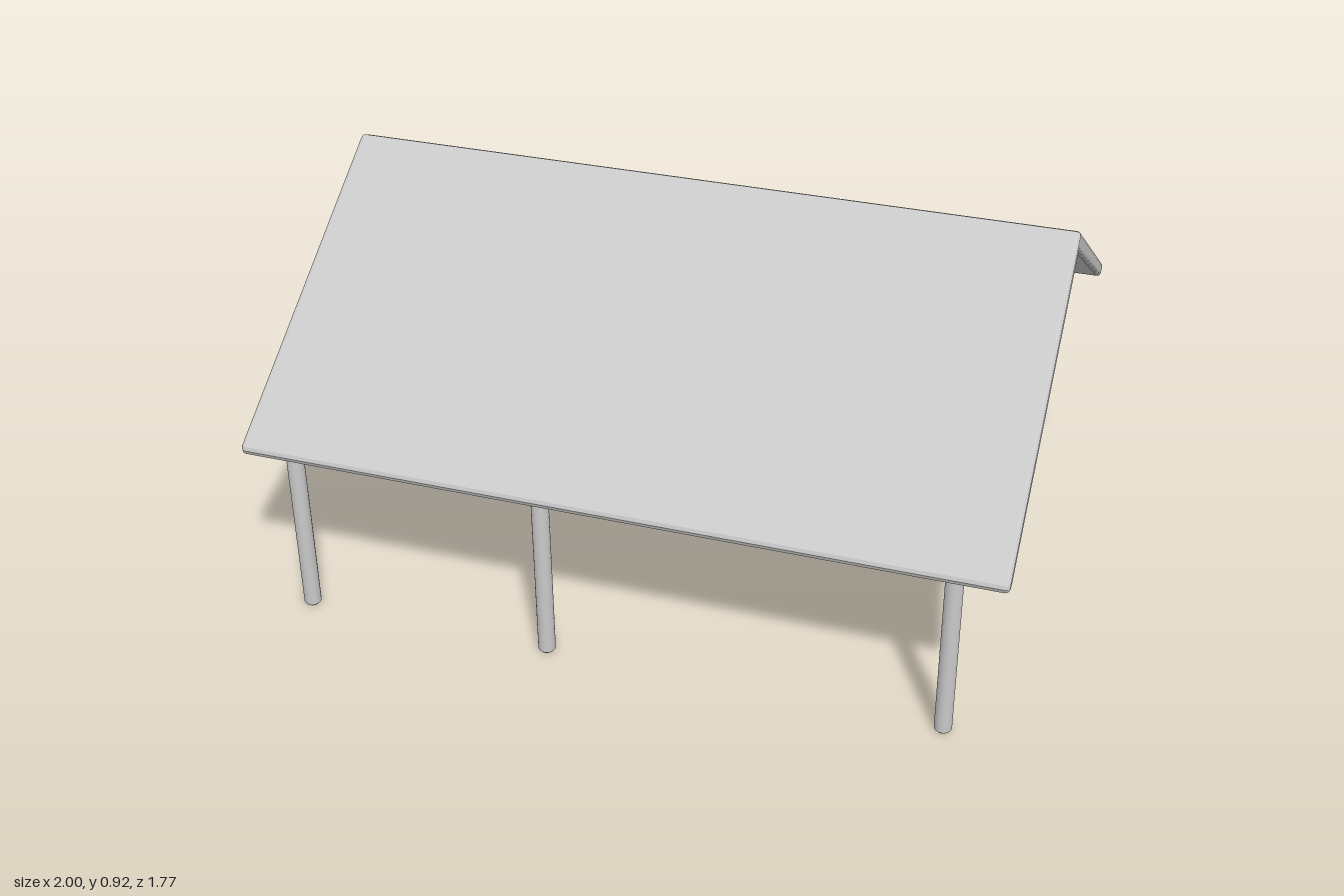
import * as THREE from 'three';

export function createModel() {
  const model = new THREE.Group();
  model.name = 'openShelter';
  const grey = new THREE.MeshStandardMaterial({ color: 0xc8c8c8 });
  grey.name = 'plain grey';

  // Whole shelter stands turned slightly about the vertical
  const shelter = new THREE.Group();
  shelter.name = 'shelter';
  shelter.rotation.y = 0.21;
  model.add(shelter);

  // Gabled roof: thin folded profile with rounded eaves, run along the ridge
  const half = [[0.69, 0.44], [0.706, 0.44], [0.717, 0.446], [0.721, 0.456], [0.718, 0.465], [0.706, 0.474]];
  const points = [
    [0, 0.868], ...half, [0.012, 0.911], [0, 0.916], [-0.012, 0.911],
    ...half.map(([x, y]) => [-x, y]).reverse(),
  ].map(([x, y]) => new THREE.Vector2(x, y));
  const bevel = 0.01, length = 1.74;
  const roofGeometry = new THREE.ExtrudeGeometry(new THREE.Shape(points), {
    depth: length - 2 * bevel,
    bevelEnabled: true, bevelSize: bevel, bevelThickness: bevel, bevelOffset: -bevel, bevelSegments: 3,
  });
  roofGeometry.translate(0, 0, bevel - length / 2);
  roofGeometry.rotateY(Math.PI / 2);
  const roof = new THREE.Mesh(roofGeometry, grey);
  roof.name = 'roof';
  shelter.add(roof);

  // Round posts with softened feet, three under each eave
  const postProfile = [[0, 0], [0.015, 0], [0.02, 0.006], [0.02, 0.482], [0, 0.482]]
    .map(([r, y]) => new THREE.Vector2(r, y));
  const postGeometry = new THREE.LatheGeometry(postProfile, 20);
  for (const [side, z] of [['front', 0.656], ['back', -0.65]]) {
    for (const [place, x] of [['Right', -0.772], ['Middle', -0.177], ['Left', 0.748]]) {
      const post = new THREE.Mesh(postGeometry, grey);
      post.name = `${side}${place}Post`;
      post.position.set(x, 0, z);
      shelter.add(post);
    }
  }
  return model;
}
